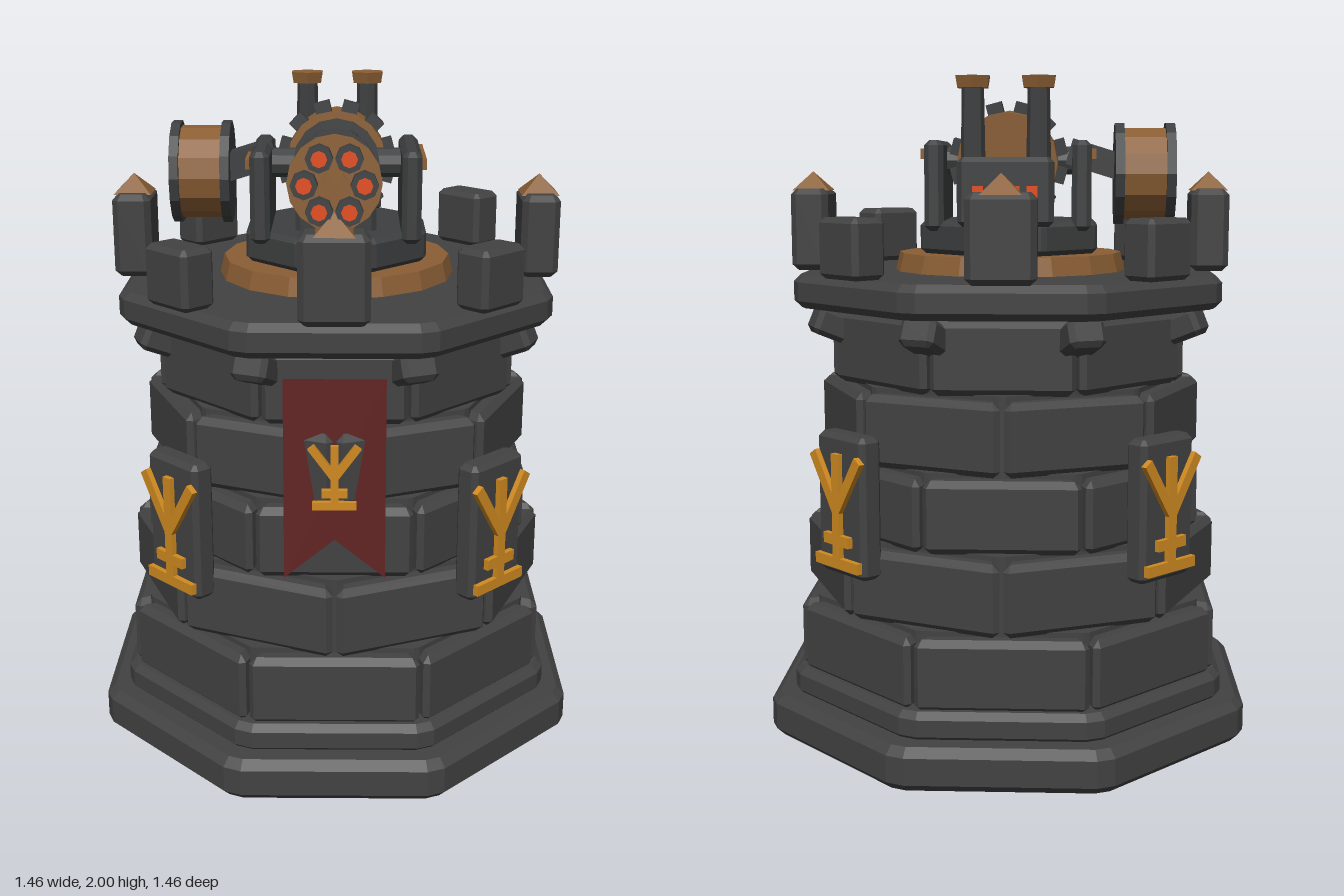
import * as THREE from 'three';

const mat = (name, color) => Object.assign(new THREE.MeshStandardMaterial({ color }), { name });

export function createModel() {
  const root = new THREE.Group();
  root.name = 'gunTower';
  const stone = mat('dark stone', 0x424242), metal = mat('gun metal', 0x3e3f40);
  const bronze = mat('bronze', 0x8a5e34), gold = mat('gold', 0xd08a20);
  const glow = mat('glowing orange', 0xe04a18), cloth = mat('red cloth', 0x5e1f1f);

  // ---- helpers ----
  const add = (geo, m, name, x = 0, y = 0, z = 0, parent = root) => {
    const g = geo.index ? geo.toNonIndexed() : geo;
    g.computeVertexNormals();
    const mesh = new THREE.Mesh(g, m);
    mesh.name = name;
    mesh.position.set(x, y, z);
    parent.add(mesh);
    return mesh;
  };
  // chamfered prism standing on y = 0 from a plan outline
  const prism = (pts, h, b) => {
    const g = new THREE.ExtrudeGeometry(new THREE.Shape(pts), {
      depth: h - 2 * b, bevelEnabled: b > 0, bevelThickness: b, bevelSize: b, bevelOffset: -b, bevelSegments: 1,
    });
    return g.translate(0, 0, b).rotateX(-Math.PI / 2);
  };
  const V = (x, y) => new THREE.Vector2(x, y);
  // octagon plan with clipped corners, flats facing the axes
  const octagon = (ap, cut = 0.03) => {
    const half = ap * Math.tan(Math.PI / 8) - cut, pts = [];
    for (let i = 0; i < 8; i++) {
      for (const s of [-1, 1]) pts.push(V(ap, s * half).rotateAround(V(0, 0), i * Math.PI / 4));
    }
    return pts;
  };
  // box with all edges chamfered, standing on y = 0
  const box = (w, h, d, c = 0.015) => {
    const x = w / 2, z = d / 2;
    return prism([V(c - x, -z), V(x - c, -z), V(x, c - z), V(x, z - c), V(x - c, z), V(c - x, z), V(-x, z - c), V(-x, c - z)], h, c);
  };
  const cylZ = (r, len, n) => new THREE.CylinderGeometry(r, r, len, n).rotateX(Math.PI / 2);
  const cylX = (r, len, n) => new THREE.CylinderGeometry(r, r, len, n).rotateZ(Math.PI / 2);
  const facing = (angle, name) => {
    const g = new THREE.Group();
    g.name = name;
    g.rotation.y = angle;
    root.add(g);
    return g;
  };

  // ---- plinth, cornice and deck ----
  add(prism(octagon(0.73), 0.13, 0.025), stone, 'plinth');
  add(prism(octagon(0.66), 0.09, 0.02), stone, 'plinthStep', 0, 0.12);
  add(prism(octagon(0.64), 0.1, 0.022), stone, 'cornice', 0, 1.325);

  // ---- five tapering courses of flat stone blocks, every other one turned by half a block ----
  const E = Math.PI / 8;
  [0.635, 0.607, 0.578, 0.555, 0.53].forEach((ap, row) => {
    const y = 0.2 + row * 0.225, turn = row % 2 ? E : 0;
    const course = facing(turn, 'course');
    add(prism(octagon(ap - 0.05, 0.01), 0.23, 0), stone, 'courseCore', 0, y, 0, course);
    const half = ap * Math.tan(E) - 0.013, back = 0.14;
    for (let i = 0; i < 8; i++) {
      const g = facing(turn + i * 2 * E, 'stoneBlock');
      const inner = half - back * Math.tan(E);
      const plan = [V(-half + 0.012, -ap), V(half - 0.012, -ap), V(half, 0.018 - ap), V(inner, back - ap), V(-inner, back - ap), V(-half, 0.018 - ap)];
      add(prism(plan, 0.215, 0.02), stone, 'blockBody', 0, y, 0, g);
    }
  });

  // ---- corbels at the corners ----
  for (let i = 0; i < 8; i++) {
    const g = facing(E + i * 2 * E, 'corbel');
    add(box(0.11, 0.085, 0.13), stone, 'corbelBlock', 0, 1.23, 0.585, g).rotation.x = -0.4;
  }

  // ---- battlements: tall capped ones on the axes, short ones between ----
  for (let i = 0; i < 8; i++) {
    const tall = i % 2 === 0, g = facing(i * 2 * E, tall ? 'tallMerlon' : 'shortMerlon');
    add(tall ? box(0.197, 0.25, 0.115, 0.018) : box(0.18, 0.175, 0.115, 0.015), stone, 'merlonBlock', 0, 1.425, 0.615, g);
    if (tall) add(new THREE.ConeGeometry(0.08, 0.058, 4).rotateY(Math.PI / 4), bronze, 'merlonCap', 0, 1.698, 0.615, g);
  }

  // ---- emblem built from bars; w = half width, h = height, t = bar thickness ----
  const emblem = (w, h, t, parent, y, z) => {
    const g = new THREE.Group();
    g.name = 'emblem';
    g.position.set(0, y, z);
    parent.add(g);
    const bar = (x0, y0, x1, y1) => {
      const m = add(new THREE.BoxGeometry(t, Math.hypot(x1 - x0, y1 - y0), 0.018), gold, 'emblemBar', (x0 + x1) / 2, (y0 + y1) / 2, 0, g);
      m.rotation.z = -Math.atan2(x1 - x0, y1 - y0);
    };
    bar(0, 0, 0, h);
    bar(-w * 0.95, t / 2, w * 0.95, t / 2);
    bar(-w * 0.55, h * 0.25, w * 0.55, h * 0.25);
    for (const s of [-1, 1]) bar(0, h * 0.5, s * w, h * 0.98);
  };
  for (let i = 0; i < 4; i++) {
    const g = facing(Math.PI / 4 + i * Math.PI / 2, 'emblemPlaque');
    add(box(0.22, 0.42, 0.075), stone, 'plaque', 0, 0.56, 0.637, g);
    emblem(0.107, 0.34, 0.032, g, 0.585, 0.682);
  }

  // ---- swallowtail banner leaning with the wall ----
  const bannerShape = new THREE.Shape([V(-0.145, 0), V(0, 0.115), V(0.145, 0), V(0.145, 0.585), V(-0.145, 0.585)]);
  add(new THREE.ExtrudeGeometry(bannerShape, { depth: 0.008, bevelEnabled: false }), cloth, 'banner', 0, 0.66, 0.585).rotation.x = -0.068;
  emblem(0.066, 0.19, 0.022, root, 0.877, 0.602);

  // ---- turntable ----
  add(new THREE.CylinderGeometry(0.345, 0.36, 0.06, 16), bronze, 'turntableRing', 0, 1.45);
  add(prism(octagon(0.27, 0.01), 0.1, 0.015), metal, 'turntable', 0, 1.48);
  add(box(0.24, 0.1, 0.3), metal, 'cradle', 0, 1.56);

  // ---- side cheeks with bronze strips ----
  for (const s of [-1, 1]) {
    add(box(0.058, 0.27, 0.39), metal, 'cheek', s * 0.222, 1.55, 0.012);
    add(new THREE.BoxGeometry(0.02, 0.03, 0.31), bronze, 'cheekStrip', s * 0.255, 1.78, 0.015);
  }
  add(cylX(0.045, 0.4, 10), metal, 'trunnion', 0, 1.76, 0);

  // ---- rotary gun, slightly raised ----
  const gun = new THREE.Group();
  gun.name = 'rotaryGun';
  gun.position.set(0, 1.757, -0.1);
  gun.rotation.x = -0.055;
  root.add(gun);
  add(cylZ(0.15, 0.2, 16), bronze, 'gunHousing', 0, 0, -0.015, gun);
  add(cylZ(0.13, 0.03, 16), metal, 'rearBand', 0, 0, 0.14, gun);
  add(cylZ(0.12, 0.03, 16), metal, 'middleBand', 0, 0, 0.39, gun);
  add(cylZ(0.128, 0.032, 16), bronze, 'muzzleBand', 0, 0, 0.655, gun);
  add(cylZ(0.035, 0.64, 10), metal, 'barrelSpindle', 0, 0, 0.36, gun);
  add(cylZ(0.036, 0.02, 10), bronze, 'spindleCap', 0, 0, 0.685, gun);
  for (let i = 0; i < 6; i++) {
    const a = i * Math.PI / 3, x = 0.08 * Math.cos(a), y = 0.08 * Math.sin(a);
    add(cylZ(0.03, 0.66, 8), metal, 'barrel', x, y, 0.38, gun);
    add(cylZ(0.037, 0.055, 8), metal, 'muzzle', x, y, 0.7, gun);
    add(cylZ(0.022, 0.008, 8), glow, 'muzzleGlow', x, y, 0.73, gun);
  }
  for (let i = 0; i < 12; i++) {
    const a = (i + 0.5) * Math.PI / 6;
    add(new THREE.BoxGeometry(0.048, 0.044, 0.075), metal, 'housingLug', 0.157 * Math.sin(a), 0.157 * Math.cos(a), 0.035, gun).rotation.z = -a;
  }

  // ---- ammunition drum and feed ----
  add(cylX(0.14, 0.13, 14), bronze, 'ammoDrum', -0.41, 1.72, -0.075);
  for (const x of [-0.487, -0.335]) add(cylX(0.155, 0.028, 14), metal, 'drumFlange', x, 1.72, -0.075);
  add(new THREE.BoxGeometry(0.16, 0.08, 0.09), metal, 'ammoFeed', -0.26, 1.765, -0.03).rotation.z = 0.3;

  // ---- engine with vents and exhausts ----
  add(box(0.28, 0.2, 0.165), metal, 'engine', 0, 1.57, -0.283);
  for (let i = 0; i < 4; i++) {
    add(new THREE.BoxGeometry(0.032, 0.09, 0.012), glow, 'engineVent', (i - 1.5) * 0.052, 1.642, -0.37);
  }
  for (const s of [-1, 1]) {
    add(new THREE.CylinderGeometry(0.032, 0.036, 0.24, 8), metal, 'exhaustPipe', s * 0.095, 1.86, -0.305);
    add(new THREE.CylinderGeometry(0.056, 0.05, 0.034, 6), bronze, 'exhaustCap', s * 0.095, 1.983, -0.305);
  }
  return root;
}
